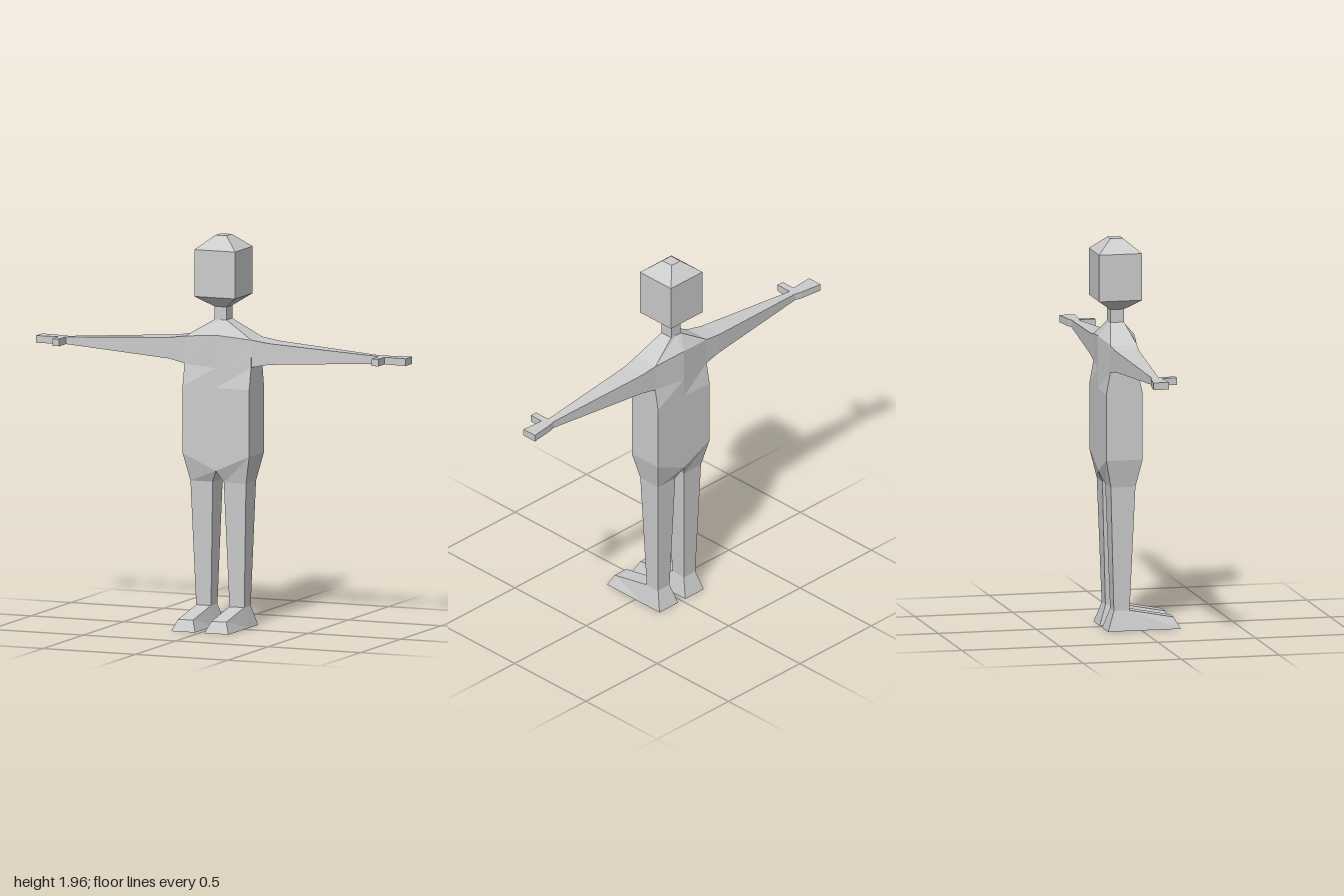
import * as THREE from 'three';

const grey = new THREE.MeshStandardMaterial({ color: 0xcccccc });
grey.name = 'plain grey';

// Skin a list of rings (each counter-clockwise seen from the end the list runs towards).
// side = -1 mirrors the part across x = 0.
function loft(name, rings, side = 1, caps = [true, true]) {
  const rs = rings.map(r => {
    const pts = r.map(([x, y, z]) => [x * side, y, z]);
    return side < 0 ? pts.reverse() : pts;
  });
  const pos = [];
  const tri = (a, b, c) => pos.push(...a, ...b, ...c);
  const n = rs[0].length;
  for (let k = 0; k < rs.length - 1; k++) {
    for (let i = 0; i < n; i++) {
      const j = (i + 1) % n, a = rs[k], b = rs[k + 1];
      tri(a[i], a[j], b[j]);
      tri(a[i], b[j], b[i]);
    }
  }
  const first = rs[0], last = rs[rs.length - 1];
  for (let i = 1; i < n - 1; i++) {
    if (caps[0]) tri(first[0], first[i + 1], first[i]);
    if (caps[1]) tri(last[0], last[i], last[i + 1]);
  }
  const geo = new THREE.BufferGeometry();
  geo.setAttribute('position', new THREE.Float32BufferAttribute(pos, 3));
  geo.computeVertexNormals();
  const mesh = new THREE.Mesh(geo, grey);
  mesh.name = name;
  return mesh;
}

// Level rectangle, for parts that run upwards
const level = (y, x0, x1, back, front) =>
  [[x0, y, front], [x1, y, front], [x1, y, back], [x0, y, back]];

// Upright rectangle across x, for parts that run outwards
const across = (x, y0, y1, back, front) =>
  [[x, y0, front], [x, y0, back], [x, y1, back], [x, y1, front]];

// Torso ring with its own height and depth on the centre line
const torsoRing = (x, y, back, front, midY, midBack, midFront) => [
  [0, midY, midFront], [x, y, front], [x, y, back],
  [0, midY, midBack], [-x, y, back], [-x, y, front]];

// Foot section: wide sole, narrower top
const footRing = (zSole, zTop, yTop) => [
  [0.025, 0, zSole], [0.155, 0, zSole], [0.13, yTop, zTop], [0.05, yTop, zTop]];

export function createModel() {
  const model = new THREE.Group();
  model.name = 'figure';

  // Torso with sloping shoulders
  model.add(loft('torso', [
    torsoRing(0.18, 0.865, -0.185, 0, 0.785, -0.185, 0),
    torsoRing(0.18, 1.20, -0.185, 0, 1.20, -0.185, 0),
    torsoRing(0.18, 1.31, -0.165, -0.025, 1.30, -0.185, 0),
    torsoRing(0.18, 1.447, -0.165, -0.03, 1.465, -0.185, 0),
    torsoRing(0.033, 1.535, -0.13, -0.06, 1.535, -0.13, -0.06),
  ], 1, [false, false]));

  // Neck and head
  model.add(loft('neck', [
    level(1.535, -0.033, 0.033, -0.13, -0.06),
    level(1.60, -0.033, 0.033, -0.13, -0.06),
  ], 1, [false, false]));
  model.add(loft('head', [
    level(1.60, -0.033, 0.033, -0.13, -0.06),
    level(1.655, -0.11, 0.11, -0.205, 0.013),
    level(1.89, -0.11, 0.11, -0.205, 0.013),
    level(1.957, -0.03, 0.03, -0.13, -0.065),
  ], 1, [false, true]));

  for (const side of [1, -1]) {
    const label = side > 0 ? 'left' : 'right';

    // Arm and hand
    model.add(loft(label + 'Arm', [
      across(0.18, 1.31, 1.447, -0.165, -0.03),
      across(0.27, 1.327, 1.433, -0.16, -0.042),
      across(0.845, 1.361, 1.397, -0.117, -0.08),
    ], side, [false, false]));
    model.add(loft(label + 'Hand', [
      across(0.845, 1.361, 1.397, -0.117, -0.08),
      across(0.882, 1.361, 1.397, -0.127, -0.07),
      across(1.0, 1.361, 1.397, -0.142, -0.062),
    ], side, [false, true]));
    model.add(loft(label + 'Thumb', [
      across(0.845, 1.361, 1.397, -0.08, 0.005),
      across(0.882, 1.361, 1.397, -0.07, 0.005),
    ], side));

    // Hip and leg, meeting the torso's slanted lower edge
    model.add(loft(label + 'Leg', [
      level(0.10, 0.05, 0.13, -0.135, -0.055),
      level(0.725, 0.03, 0.15, -0.155, -0.03),
      [[0, 0.785, 0], [0.18, 0.865, 0], [0.18, 0.865, -0.185], [0, 0.785, -0.185]],
    ], side, [false, false]));

    // Foot
    model.add(loft(label + 'Foot', [
      footRing(-0.17, -0.135, 0.10),
      footRing(-0.055, -0.055, 0.10),
      footRing(0.20, 0.17, 0.057),
    ], side));
  }
  return model;
}
